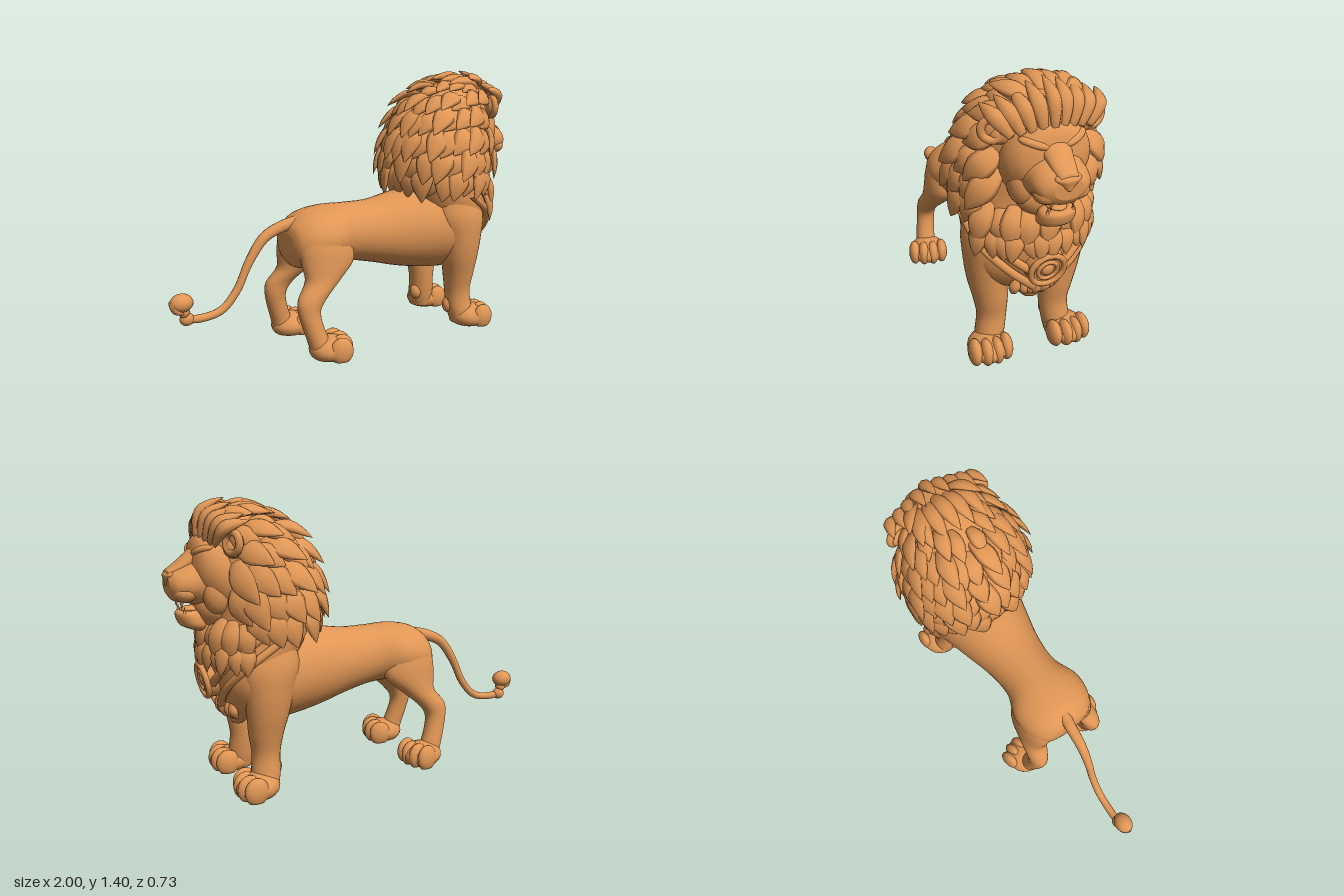
import * as THREE from 'three';
import { mergeGeometries } from 'three/addons/utils/BufferGeometryUtils.js';

const V = (x, y, z) => new THREE.Vector3(x, y, z);
const material = new THREE.MeshStandardMaterial({ color: 0xe09655 });

// lofts carry no uv, so drop it everywhere before merging
function merge(list) {
  list.forEach(g => g.deleteAttribute('uv'));
  return mergeGeometries(list);
}

// smooth interpolation through rings [cx, cy, cz, ra, rb]
function sample(rings, t) {
  const f = t * (rings.length - 1), i = Math.min(Math.floor(f), rings.length - 2), u = f - i;
  const at = k => rings[Math.max(0, Math.min(rings.length - 1, k))];
  return rings[0].map((_, c) => {
    const [a, b, d, e] = [at(i - 1)[c], at(i)[c], at(i + 1)[c], at(i + 2)[c]];
    const v = b + 0.5 * u * (d - a + u * (2 * a - 5 * b + 4 * d - e + u * (3 * (b - d) + e - a)));
    return c > 2 ? Math.max(0, v) : v;
  });
}

function ringPoint(rings, axis, t, angle) {
  const [x, y, z, a, b] = sample(rings, t), c = Math.cos(angle), s = Math.sin(angle);
  return axis === 'y' ? V(x + a * c, y, z + b * s) : V(x, y + a * c, z - b * s);
}

// closed skin through ascending rings along the x or y axis
function loft(rings, axis, steps = 32, sides = 28) {
  const pos = [], idx = [];
  for (let i = -1; i <= steps + 1; i++) {
    const t = Math.max(0, Math.min(1, i / steps));
    for (let j = 0; j < sides; j++) {
      const p = i < 0 || i > steps ? V(...sample(rings, t).slice(0, 3)) : ringPoint(rings, axis, t, j / sides * 2 * Math.PI);
      pos.push(p.x, p.y, p.z);
    }
  }
  for (let i = 0; i < steps + 2; i++) for (let j = 0; j < sides; j++) {
    const a = i * sides + j, c = i * sides + (j + 1) % sides;
    idx.push(a, a + sides, c, a + sides, c + sides, c);
  }
  const g = new THREE.BufferGeometry();
  g.setAttribute('position', new THREE.Float32BufferAttribute(pos, 3));
  g.setIndex(idx);
  g.computeVertexNormals();
  return g;
}

// pointed, bowed lock of hair
function lock(p, dir, normal, length, width, thick, bow = 0.1) {
  const g = loft([[0, -0.05, 0, 0.5, 0.5], [0.25, bow * 0.6, 0, 1, 0.9], [0.5, bow, 0, 1, 1],
    [0.78, bow * 0.6, 0, 0.65, 0.6], [1, 0, 0, 0.02, 0.02]].map(r =>
    [r[0] * length, r[1] * length, 0, r[3] * thick, r[4] * width]), 'x', 9, 8);
  const x = dir.clone().normalize(), z = x.clone().cross(normal).normalize();
  return g.applyMatrix4(new THREE.Matrix4().makeBasis(x, z.clone().cross(x), z).setPosition(p));
}

function blob(x, y, z, rx, ry, rz) {
  return new THREE.SphereGeometry(1, 20, 14).scale(rx, ry, rz).translate(x, y, z);
}

export function createModel() {
  const root = new THREE.Group();
  const add = (name, geo) => {
    const m = new THREE.Mesh(Array.isArray(geo) ? merge(geo) : geo, material);
    m.name = name;
    root.add(m);
    return m;
  };

  // torso
  add('body', loft([
    [-0.395, 0.56, 0, 0.05, 0.07], [-0.375, 0.555, 0, 0.11, 0.14], [-0.3, 0.57, 0, 0.145, 0.195],
    [-0.18, 0.585, 0, 0.15, 0.205], [-0.05, 0.582, 0, 0.153, 0.158], [0.1, 0.567, 0, 0.17, 0.165],
    [0.25, 0.56, 0, 0.203, 0.2], [0.4, 0.56, 0, 0.23, 0.24], [0.55, 0.56, 0, 0.24, 0.275],
    [0.68, 0.57, 0, 0.2, 0.25], [0.76, 0.58, 0, 0.12, 0.15]], 'x', 44, 36));

  // legs and paws
  function paw(name, x, z, yaw) {
    const parts = [blob(0, 0.052, 0, 0.108, 0.068, 0.1)];
    [-0.076, -0.026, 0.026, 0.076].forEach((dz, i) =>
      parts.push(blob(i % 3 ? 0.052 : 0.036, 0.058, dz, 0.06, 0.068, 0.033)));
    const geo = merge(parts), p = geo.attributes.position;
    for (let i = 0; i < p.count; i++) p.setY(i, Math.max(0.003, p.getY(i)));
    geo.computeVertexNormals();
    const m = add(name, geo);
    m.position.set(x, 0, z);
    m.rotation.y = yaw;
  }
  for (const s of [1, -1]) {
    const side = s > 0 ? 'Near' : 'Far';
    add('frontLeg' + side, loft([
      [0.6, 0.02, 0.19, 0.055, 0.07], [0.595, 0.1, 0.175, 0.07, 0.072], [0.588, 0.2, 0.163, 0.069, 0.073],
      [0.587, 0.3, 0.17, 0.085, 0.085], [0.58, 0.4, 0.185, 0.103, 0.094], [0.575, 0.52, 0.195, 0.122, 0.1],
      [0.565, 0.64, 0.185, 0.145, 0.11], [0.55, 0.77, 0.165, 0.1, 0.09]].map(r =>
      [r[0], r[1], s * r[2], r[3], r[4]]), 'y'));
    paw('frontPaw' + side, 0.648, s * 0.203, -s * 0.05);
    add('dewclaw' + side, blob(0.54, 0.115, s * 0.15, 0.035, 0.045, 0.035));
    add('hindLeg' + side, loft([
      [-0.31, 0.02, 0.205, 0.055, 0.055], [-0.325, 0.08, 0.205, 0.057, 0.053], [-0.355, 0.17, 0.195, 0.054, 0.05],
      [-0.37, 0.25, 0.185, 0.058, 0.05], [-0.345, 0.315, 0.178, 0.078, 0.055], [-0.275, 0.39, 0.155, 0.095, 0.07],
      [-0.235, 0.47, 0.135, 0.142, 0.085], [-0.235, 0.55, 0.118, 0.143, 0.093],
      [-0.24, 0.63, 0.1, 0.11, 0.085], [-0.24, 0.69, 0.07, 0.05, 0.05]].map(r =>
      [r[0], r[1], s * r[2], r[3], r[4]]), 'y'));
    paw('hindPaw' + side, -0.27, s * 0.212, -s * 0.22);
  }

  // tail with a tufted end
  const tail = new THREE.CatmullRomCurve3([V(-0.33, 0.665, 0), V(-0.42, 0.645, -0.01), V(-0.51, 0.6, -0.015),
    V(-0.59, 0.49, -0.02), V(-0.66, 0.35, -0.025), V(-0.74, 0.265, -0.03), V(-0.84, 0.243, -0.035), V(-0.92, 0.25, -0.04)]);
  const tailGeo = new THREE.TubeGeometry(tail, 48, 1, 12), tp = tailGeo.attributes.position;
  for (let i = 0; i < tp.count; i++) {
    const u = Math.floor(i / 13) / 48, c = tail.getPointAt(u);
    const q = V().fromBufferAttribute(tp, i).sub(c).multiplyScalar(0.033 - 0.013 * Math.min(1, u * 2)).add(c);
    tp.setXYZ(i, q.x, q.y, q.z);
  }
  add('tail', tailGeo);
  add('tailTuft', [blob(-0.91, 0.25, -0.04, 0.035, 0.032, 0.03), blob(-0.935, 0.335, -0.035, 0.057, 0.045, 0.046),
    blob(-0.925, 0.29, -0.037, 0.028, 0.03, 0.028),
    lock(V(-0.925, 0.28, -0.035), V(-0.9, 0.9, 0), V(-0.8, -0.6, 0), 0.1, 0.035, 0.02)]);

  // mane mass
  const core = [
    [0.67, 0.32, 0, 0.03, 0.04], [0.64, 0.42, 0, 0.1, 0.14], [0.61, 0.53, 0, 0.185, 0.22], [0.595, 0.65, 0, 0.22, 0.275],
    [0.56, 0.78, 0, 0.24, 0.285], [0.55, 0.9, 0, 0.245, 0.288], [0.56, 1.03, 0, 0.245, 0.28],
    [0.595, 1.16, 0, 0.228, 0.24], [0.645, 1.27, 0, 0.195, 0.175], [0.69, 1.335, 0, 0.13, 0.1], [0.7, 1.355, 0, 0.04, 0.04]];
  add('mane', loft(core, 'y', 44, 40));
  const heightToT = y => {
    let lo = 0, hi = 1;
    for (let k = 0; k < 25; k++) { const m = (lo + hi) / 2; if (sample(core, m)[1] < y) lo = m; else hi = m; }
    return lo;
  };
  const onMane = (y, a) => {
    const t = heightToT(y), p = ringPoint(core, 'y', t, a);
    const up = ringPoint(core, 'y', t + 0.005, a).sub(ringPoint(core, 'y', t - 0.005, a));
    const n = up.cross(ringPoint(core, 'y', t, a + 0.01).sub(p)).normalize();
    return { p, n };
  };

  // rows of locks: height, count, smallest and largest angle from the front, length, width
  const locks = [];
  [[0.45, 4, 0, 0.8, 0.1, 0.026], [0.765, 6, 0, 1.1, 0.16, 0.046], [0.86, 5, 0, 1.1, 0.19, 0.055],
    [0.93, 9, 1.0, 3.14, 0.2, 0.062], [1.02, 9, 0.75, 3.14, 0.21, 0.062], [1.11, 9, 0.75, 3.14, 0.21, 0.06],
    [1.2, 8, 1.05, 3.14, 0.2, 0.056], [1.27, 7, 0.9, 3.14, 0.19, 0.05],
    [1.325, 5, 0.9, 3.14, 0.17, 0.042]].forEach(([y, count, a0, a1, length, width], row) => {
    for (let i = 0; i < count; i++) for (const s of [1, -1]) {
      const a = s * (a0 + (a1 - a0) * (i + (row % 2 ? 0.5 : 0.15)) / count);
      const wave = Math.sin(i * 2.3 + row * 1.7 + s);
      const { p, n } = onMane(y + 0.015 * wave, a);
      const w = THREE.MathUtils.clamp((y - 0.82) / 0.5, 0, 1);
      const d = V(-w - 0.05, -1 + 0.65 * w, 0.4 * Math.sin(a) * w + 0.15 * wave);
      d.addScaledVector(n, -d.dot(n)).normalize().addScaledVector(n, 0.16 + 0.05 * wave);
      locks.push(lock(p, d, n, length * (1 + 0.15 * wave), width, 0.019));
    }
  });
  add('maneLocks', locks);

  // swept-back locks above the forehead, with a second tier over the crown
  const fore = [];
  for (let k = -4; k <= 4; k++) {
    const m = Math.abs(k);
    fore.push(lock(V(0.85 - 0.009 * m, 1.232 - 0.006 * m, 0.044 * k), V(-0.66, 0.75 - 0.07 * m, 0.1 * k),
      V(0.65, 0.75, 0.12 * k), 0.23 - 0.008 * m, m ? 0.035 : 0.032, 0.026, 0.2));
  }
  for (let k = -2; k <= 2; k++) {
    const m = Math.abs(k);
    fore.push(lock(V(0.75, 1.345 - 0.012 * m, 0.05 * k), V(-1, 0.06, 0.1 * k), V(0, 1, 0.2 * k), 0.25, 0.042, 0.024, 0.1));
  }
  add('forelocks', fore);

  // head: skull, muzzle, bridge, nose
  add('head', loft([[0.6, 1.06, 0, 0.16, 0.18], [0.73, 1.06, 0, 0.2, 0.2], [0.79, 1.075, 0, 0.185, 0.193],
    [0.835, 1.09, 0, 0.152, 0.165], [0.86, 1.09, 0, 0.12, 0.13], [0.877, 1.08, 0, 0.07, 0.08]], 'x'));
  add('muzzle', loft([[0.78, 1.02, 0, 0.13, 0.16], [0.86, 1.025, 0, 0.108, 0.134], [0.92, 1.02, 0, 0.086, 0.126],
    [0.96, 1.015, 0, 0.072, 0.105], [0.985, 1.02, 0, 0.045, 0.065]], 'x'));
  add('noseBridge', loft([[0.79, 1.17, 0, 0.07, 0.1], [0.86, 1.135, 0, 0.05, 0.068], [0.94, 1.088, 0, 0.03, 0.052],
    [0.985, 1.068, 0, 0.018, 0.04]], 'x', 14, 16));
  add('nose', loft([[0.982, 1.015, 0, 0.008, 0.01], [0.975, 1.04, 0, 0.02, 0.035],
    [0.968, 1.065, 0, 0.03, 0.06], [0.96, 1.082, 0, 0.015, 0.04]], 'y', 12, 16));
  for (const s of [1, -1]) {
    const side = s > 0 ? 'Near' : 'Far';
    add('cheek' + side, [blob(0.915, 0.985, s * 0.065, 0.057, 0.046, 0.06), blob(0.78, 0.98, s * 0.115, 0.07, 0.1, 0.062)]);
    const brow = add('brow' + side, blob(0, 0, 0, 0.03, 0.022, 0.068));
    brow.position.set(0.838, 1.172, s * 0.09);
    brow.rotation.set(-s * 0.3, -s * 0.45, 0);
    const eye = add('eye' + side, blob(0, 0, 0, 0.02, 0.014, 0.035));
    eye.position.set(0.84, 1.132, s * 0.1);
    eye.rotation.set(-s * 0.2, -s * 0.5, 0);
    // ear: rim and inner bowl
    const ear = add('ear' + side, [new THREE.TorusGeometry(0.047, 0.018, 10, 24).rotateY(Math.PI / 2),
      blob(-0.02, 0, 0, 0.02, 0.048, 0.048), blob(-0.03, -0.03, -s * 0.03, 0.045, 0.045, 0.05)]);
    ear.position.set(0.74, 1.215, s * 0.23);
    ear.rotation.y = -s * 0.35;
    // fangs
    add('fangs' + side, [new THREE.ConeGeometry(0.012, 0.045, 8).rotateX(Math.PI).translate(0.93, 0.925, s * 0.05),
      new THREE.ConeGeometry(0.01, 0.04, 8).translate(0.92, 0.9, s * 0.058)]);
  }

  // open lower jaw, tongue and throat
  add('jaw', loft([[0.85, 0.803, 0, 0.03, 0.055], [0.868, 0.825, 0, 0.06, 0.08], [0.88, 0.855, 0, 0.065, 0.086],
    [0.89, 0.885, 0, 0.058, 0.08], [0.885, 0.897, 0, 0.04, 0.06]], 'y', 16));
  add('tongue', blob(0.87, 0.9, 0, 0.06, 0.015, 0.045));
  add('throat', blob(0.78, 0.91, 0, 0.09, 0.1, 0.14));

  // chest harness
  for (const s of [1, -1]) [0, -0.1].forEach((drop, i) => {
    const pts = [[0.86, 1.6], [0.76, 1.15], [0.66, 0.75], [0.57, 0.38], [0.5, 0]].map(([y, a]) => {
      const { p, n } = onMane(y + drop, s * a);
      return p.addScaledVector(n, 0.015);
    });
    add(i ? 'lowerStrap' : 'upperStrap', new THREE.TubeGeometry(new THREE.CatmullRomCurve3(pts), 28, 0.02, 8));
  });
  // round chest medallion
  const medal = add('medallion', [new THREE.CylinderGeometry(0.085, 0.095, 0.05, 32).rotateZ(-Math.PI / 2),
    new THREE.TorusGeometry(0.08, 0.014, 10, 32).rotateY(Math.PI / 2).translate(0.025, 0, 0),
    new THREE.TorusGeometry(0.046, 0.01, 8, 28).rotateY(Math.PI / 2).translate(0.027, 0, 0),
    blob(0.025, 0, 0, 0.014, 0.03, 0.03)]);
  medal.position.set(0.81, 0.555, 0);
  medal.rotation.z = -0.2;

  return root;
}
